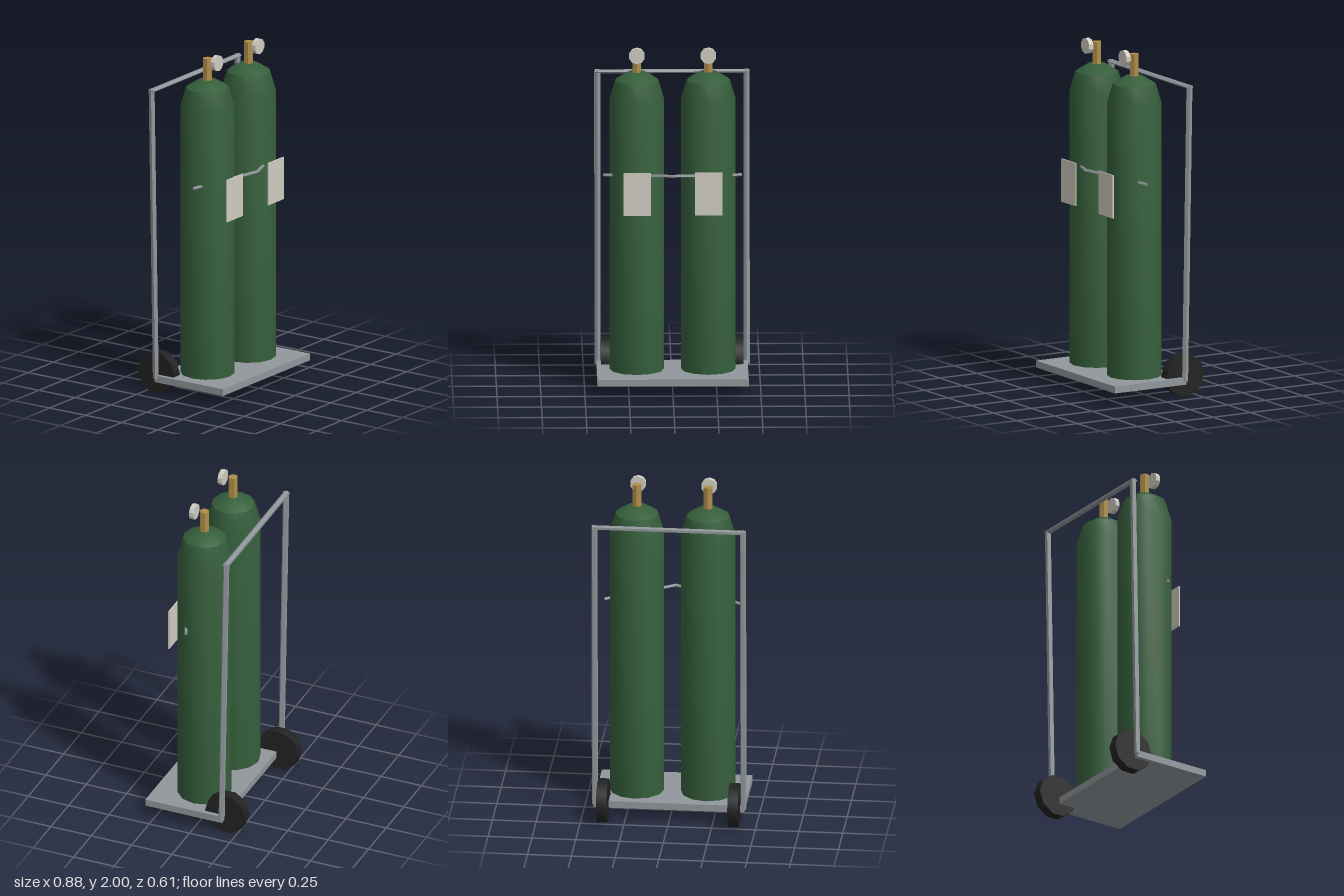
import * as THREE from 'three';
import { toCreasedNormals } from 'three/addons/utils/BufferGeometryUtils.js';

const material = (name, color) => {
  const m = new THREE.MeshStandardMaterial({ color });
  m.name = name;
  return m;
};

export function createModel() {
  const green = material('cylinder green', 0x355e3b);
  const steel = material('frame steel', 0x90979b);
  const rubber = material('tyre black', 0x222222);
  const brass = material('valve brass', 0xb08d4a);
  const ivory = material('tag ivory', 0xd0ccc2);

  const group = new THREE.Group();
  const add = (name, geometry, mat, x = 0, y = 0, z = 0) => {
    const mesh = new THREE.Mesh(geometry, mat);
    mesh.name = name;
    mesh.position.set(x, y, z);
    group.add(mesh);
    return mesh;
  };
  const faceted = (geometry) => toCreasedNormals(geometry, 0.5);

  // Straight rod between two points
  const rod = (name, a, b, radius, sides) => {
    const from = new THREE.Vector3(...a), to = new THREE.Vector3(...b);
    const dir = to.clone().sub(from);
    const mesh = add(name, faceted(new THREE.CylinderGeometry(radius, radius, dir.length(), sides)), steel);
    mesh.position.copy(from).add(to).multiplyScalar(0.5);
    mesh.quaternion.setFromUnitVectors(new THREE.Vector3(0, 1, 0), dir.normalize());
    return mesh;
  };

  // Base plate and top handle
  add('basePlate', new THREE.BoxGeometry(0.86, 0.04, 0.475), steel, 0, 0.09, 0.067);
  const handle = rod('handle', [-0.437, 1.793, -0.194], [0.437, 1.793, -0.194], 0.02, 5);
  handle.scale.x = 0.6;

  // Bottle profile: flat foot, straight wall, sloped shoulder, shallow crown
  const profile = [[0, 0.11], [0.155, 0.11], [0.155, 1.69], [0.123, 1.8], [0.05, 1.845], [0, 1.845]]
    .map(([r, y]) => new THREE.Vector2(r, y));
  const bottle = toCreasedNormals(new THREE.LatheGeometry(profile, 12), 0.62);
  const valve = faceted(new THREE.CylinderGeometry(0.028, 0.028, 0.135, 6));
  const gauge = faceted(new THREE.CylinderGeometry(0.046, 0.046, 0.028, 10).rotateX(Math.PI / 2));
  const wheel = toCreasedNormals(
    new THREE.CylinderGeometry(0.125, 0.125, 0.06, 10).rotateZ(Math.PI / 2), 0.7);
  const tag = new THREE.BoxGeometry(0.156, 0.25, 0.007);

  for (const [side, s] of [['left', 1], ['right', -1]]) {
    const x = 0.203 * s;
    add(side + 'Bottle', bottle, green, x, 0, 0.037);
    add(side + 'Valve', valve, brass, x, 1.905, 0.037);
    add(side + 'Gauge', gauge, ivory, x, 1.954, 0.101);
    add(side + 'Tag', tag, ivory, x, 1.175, 0.2245);
    add(side + 'Wheel', wheel, rubber, 0.375 * s, 0.119, -0.18);
    // Leaning post and half of the retaining bar
    rod(side + 'Post', [0.424 * s, 0.09, -0.165], [0.424 * s, 1.802, -0.194], 0.0185, 5);
    rod(side + 'Restraint', [0.392 * s, 1.25, 0.07], [0, 1.283, 0.239], 0.009, 5);
  }
  return group;
}
